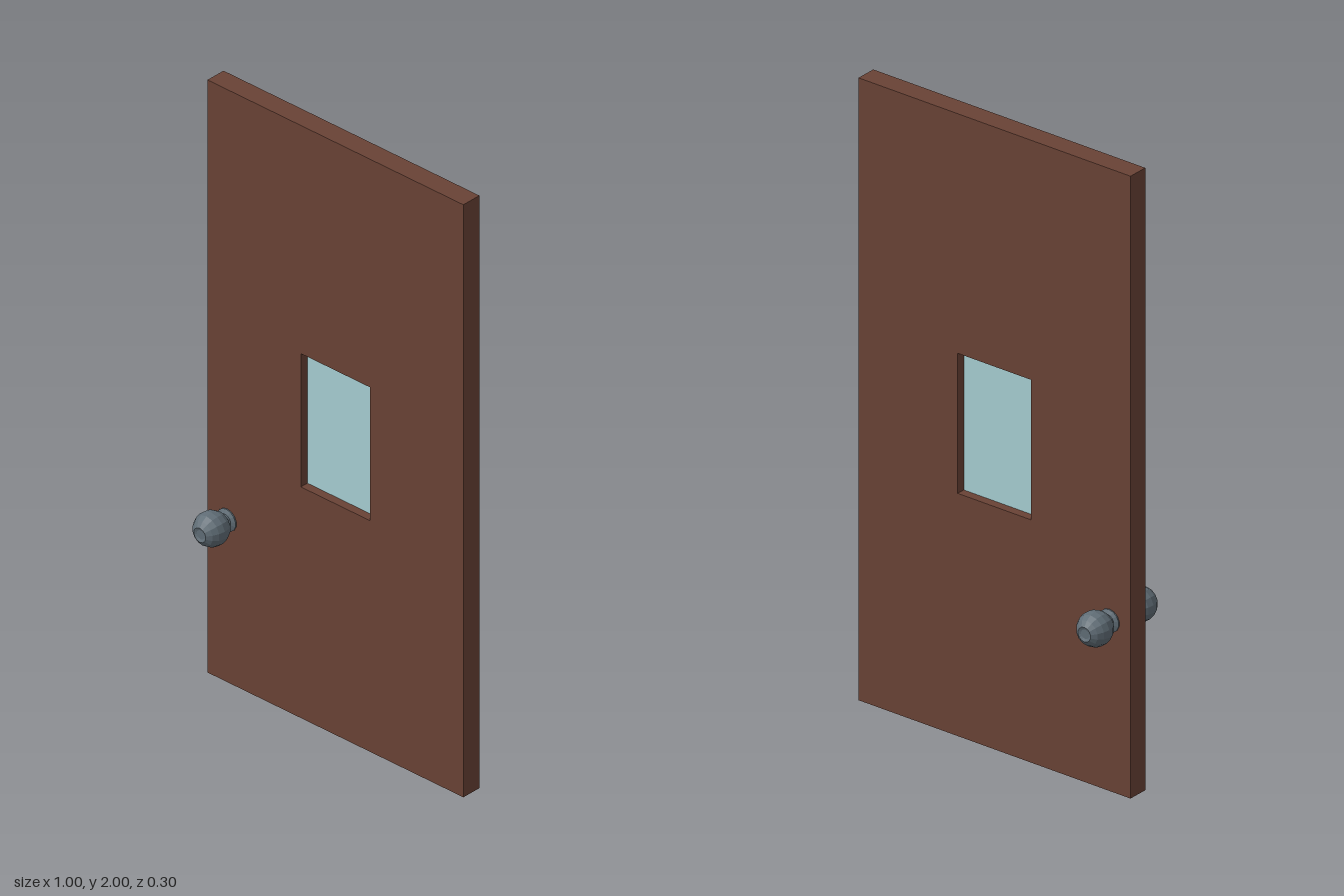
import * as THREE from 'three';

const T = 0.068; // door thickness

export function createModel() {
  const wood = new THREE.MeshStandardMaterial({ color: 0x694235 });
  wood.name = 'brown wood';
  const glass = new THREE.MeshStandardMaterial({ color: 0xa6ced2 });
  glass.name = 'pale blue glass';
  const metal = new THREE.MeshStandardMaterial({ color: 0x5f6c75, flatShading: true });
  metal.name = 'grey metal';

  const model = new THREE.Group();
  model.name = 'door';
  const add = (name, geometry, material) => {
    const mesh = new THREE.Mesh(geometry, material);
    mesh.name = name;
    model.add(mesh);
    return mesh;
  };
  const rectangle = (P, x0, y0, x1, y1) => new P([
    new THREE.Vector2(x0, y0), new THREE.Vector2(x1, y0),
    new THREE.Vector2(x1, y1), new THREE.Vector2(x0, y1),
  ]);

  // Door slab with a window opening
  const outline = rectangle(THREE.Shape, -0.5, 0, 0.5, 2);
  outline.holes.push(rectangle(THREE.Path, -0.135, 0.78, 0.135, 1.23));
  const slab = new THREE.ExtrudeGeometry(outline, { depth: T, bevelEnabled: false });
  slab.translate(0, 0, -T / 2);
  add('doorSlab', slab, wood);

  // Pane set in the middle of the opening
  add('windowPane', new THREE.BoxGeometry(0.27, 0.45, 0.012), glass).position.y = 1.005;

  // Knob: rosette, neck, ball and a dimpled tip, turned around its axis
  const profile = [[0.037, 0.03], [0.037, 0.038], [0.024, 0.044], [0.024, 0.05]];
  const R = 0.055, centre = 0.1;
  for (let i = 0; i <= 6; i++) {
    const a = THREE.MathUtils.lerp(-1.08, 1.13, i / 6);
    profile.push([R * Math.cos(a), centre + R * Math.sin(a)]);
  }
  profile.push([0.015, 0.146], [0, 0.146]);
  const knob = new THREE.LatheGeometry(profile.map(([r, y]) => new THREE.Vector2(r, y)), 14);
  for (const side of [1, -1]) {
    const mesh = add(side > 0 ? 'frontKnob' : 'backKnob', knob, metal);
    mesh.position.set(-0.423, 0.548, 0);
    mesh.rotation.x = side * Math.PI / 2;
  }
  return model;
}
